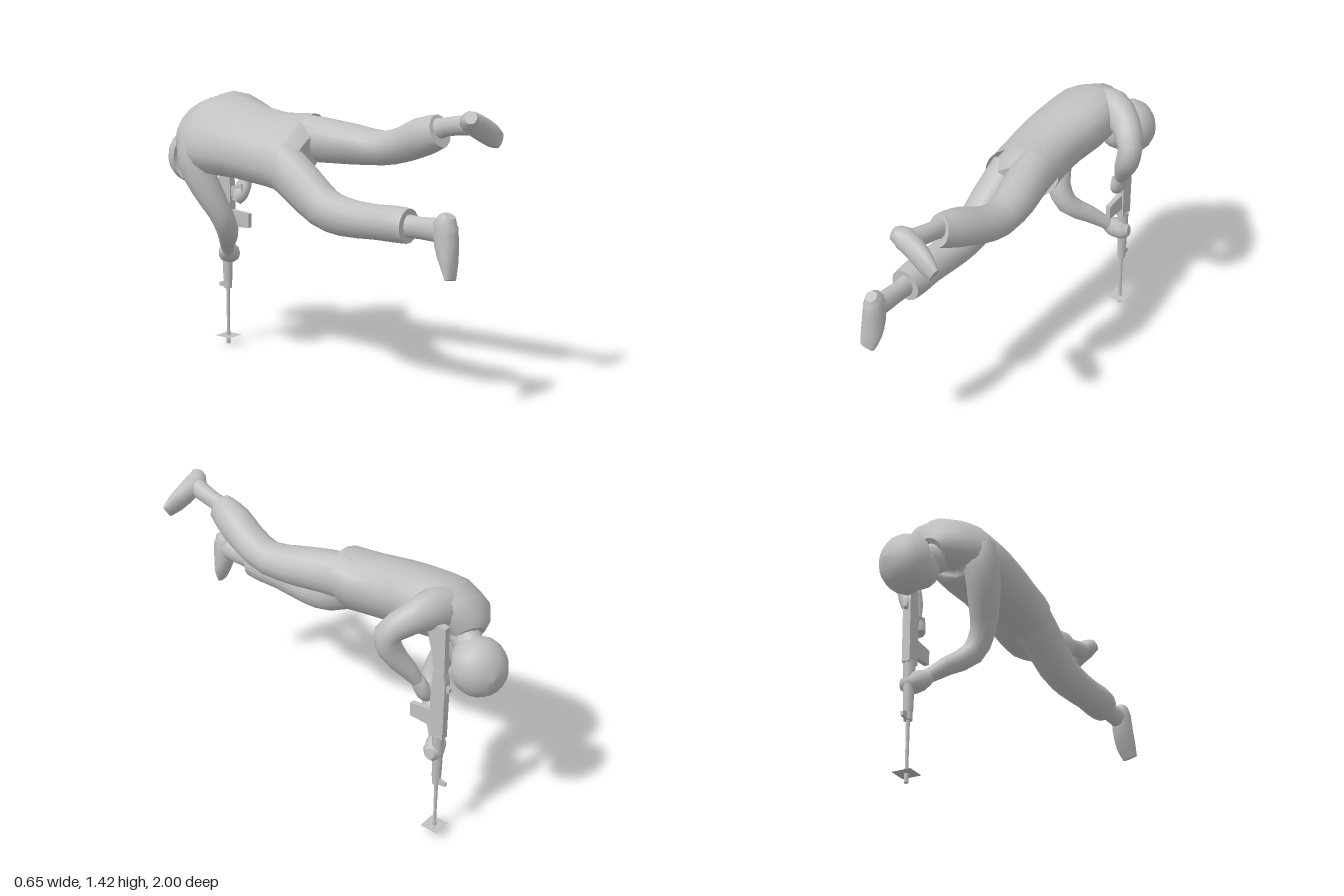
import * as THREE from 'three';

const V = (x, y, z) => new THREE.Vector3(x, y, z);
const grey = new THREE.MeshStandardMaterial({ color: 0xc0c0c0 });
grey.name = 'plain grey';
const greySheet = new THREE.MeshStandardMaterial({ color: 0xc0c0c0, side: THREE.DoubleSide });
greySheet.name = 'plain grey sheet';

// Skin over elliptical sections [x, y, z, a, b]; a lies along ref, b across it
function loft(sections, ref, { sides = 14, steps = 2, capStart = true, capEnd = true } = {}) {
  const path = new THREE.CatmullRomCurve3(sections.map(s => V(s[0], s[1], s[2])));
  const radii = new THREE.CatmullRomCurve3(sections.map(s => V(s[3], s[4], 0)));
  const n = (sections.length - 1) * steps;
  const pos = [], index = [], rings = [];
  for (let i = 0; i <= n; i++) {
    const c = path.getPoint(i / n), t = path.getTangent(i / n), r = radii.getPoint(i / n);
    const u = ref.clone().addScaledVector(t, -ref.dot(t)).normalize();
    const v = t.clone().cross(u);
    const ring = [];
    for (let j = 0; j < sides; j++) {
      const a = (j / sides) * Math.PI * 2;
      ring.push(c.clone().addScaledVector(u, Math.cos(a) * r.x).addScaledVector(v, Math.sin(a) * r.y));
    }
    rings.push(ring);
    ring.forEach(p => pos.push(p.x, p.y, p.z));
  }
  for (let i = 0; i < n; i++) for (let j = 0; j < sides; j++) {
    const k = (j + 1) % sides, a = i * sides + j, b = i * sides + k;
    index.push(a, b, b + sides, a, b + sides, a + sides);
  }
  const cap = (ring, c, flip) => {
    const base = pos.length / 3;
    pos.push(c.x, c.y, c.z);
    ring.forEach(p => pos.push(p.x, p.y, p.z));
    for (let j = 0; j < sides; j++) {
      const p = base + 1 + j, q = base + 1 + (j + 1) % sides;
      index.push(base, flip ? q : p, flip ? p : q);
    }
  };
  if (capStart) cap(rings[0], path.getPoint(0), true);
  if (capEnd) cap(rings[n], path.getPoint(1), false);
  const g = new THREE.BufferGeometry();
  g.setAttribute('position', new THREE.Float32BufferAttribute(pos, 3));
  g.setIndex(index);
  g.computeVertexNormals();
  return g;
}

// Side outline of [z, y] points, thickened along x
function slab(points, width) {
  const shape = new THREE.Shape(points.map(p => new THREE.Vector2(p[0], p[1])));
  return new THREE.ExtrudeGeometry(shape, { depth: width, bevelEnabled: false })
    .translate(0, 0, -width / 2).rotateY(-Math.PI / 2);
}

export function createModel() {
  const model = new THREE.Group();
  model.name = 'figure';
  const add = (name, geometry, parent = model, material = grey) => {
    const m = new THREE.Mesh(geometry, material);
    m.name = name;
    parent.add(m);
    return m;
  };
  const X = V(1, 0, 0), Z = V(0, 0, 1);
  const across = V(0.82, 0.57, 0); // rolled shoulder line

  // Jacket with an open, slanted hem
  const jacket = loft([
    [-0.095, 1.14, -0.055, 0.235, 0.155],
    [-0.11, 1.145, -0.2, 0.215, 0.155],
    [-0.11, 1.165, -0.36, 0.22, 0.16],
    [-0.095, 1.18, -0.5, 0.245, 0.165],
    [-0.085, 1.19, -0.62, 0.24, 0.16],
    [-0.075, 1.185, -0.7, 0.2, 0.13],
    [-0.035, 1.13, -0.765, 0.08, 0.075],
  ], across, { sides: 18, capStart: false });
  const p = jacket.attributes.position;
  for (let i = 0; i < p.count; i++) {
    const fade = Math.max(0, 1 + (p.getZ(i) + 0.05) / 0.3);
    p.setZ(i, p.getZ(i) + 0.2 * (p.getY(i) - 1.14) * Math.min(1, fade));
  }
  jacket.computeVertexNormals();
  add('jacket', jacket, model, greySheet);

  // Trousers
  add('pelvis', loft([
    [-0.1, 1.15, -0.25, 0.17, 0.12], [-0.1, 1.14, -0.08, 0.2, 0.135], [-0.1, 1.13, 0.02, 0.13, 0.08],
  ], across));
  add('lowerTrouserLeg', loft([
    [-0.185, 1.1, -0.1, 0.11, 0.12], [-0.205, 1.0, 0.06, 0.1, 0.115],
    [-0.215, 0.91, 0.2, 0.095, 0.105], [-0.225, 0.88, 0.33, 0.088, 0.095],
    [-0.235, 0.88, 0.52, 0.08, 0.084], [-0.238, 0.885, 0.64, 0.088, 0.086], [-0.24, 0.885, 0.72, 0.078, 0.083],
  ], X));
  add('upperTrouserLeg', loft([
    [-0.01, 1.2, -0.1, 0.1, 0.12], [0.005, 1.195, 0.04, 0.105, 0.112],
    [0.04, 1.185, 0.2, 0.1, 0.1], [0.06, 1.18, 0.36, 0.09, 0.085],
    [0.04, 1.215, 0.5, 0.092, 0.088], [0.01, 1.265, 0.62, 0.09, 0.095], [-0.015, 1.305, 0.735, 0.064, 0.08],
  ], X));

  // Shins and feet
  add('lowerAnkle', loft([
    [-0.24, 0.885, 0.68, 0.05, 0.06], [-0.24, 0.885, 0.78, 0.04, 0.052], [-0.25, 0.89, 0.93, 0.045, 0.06],
  ], X));
  add('lowerFoot', loft([
    [-0.255, 0.965, 0.955, 0.03, 0.03], [-0.255, 0.92, 0.935, 0.062, 0.05],
    [-0.257, 0.83, 0.942, 0.058, 0.055], [-0.265, 0.74, 0.962, 0.038, 0.055], [-0.28, 0.672, 0.98, 0.018, 0.04],
  ], Z, { sides: 12 }));
  add('upperAnkle', loft([
    [-0.012, 1.305, 0.69, 0.045, 0.055], [-0.015, 1.33, 0.78, 0.038, 0.045], [-0.04, 1.355, 0.93, 0.05, 0.05],
  ], X));
  add('upperFoot', loft([
    [-0.1, 1.395, 0.96, 0.028, 0.032], [-0.06, 1.37, 0.935, 0.056, 0.052],
    [0.01, 1.335, 0.94, 0.05, 0.058], [0.08, 1.295, 0.958, 0.034, 0.058], [0.132, 1.265, 0.972, 0.018, 0.04],
  ], Z, { sides: 12 }));

  // Arm that grips the trigger
  add('triggerArm', loft([
    [0.0, 1.26, -0.66, 0.08, 0.1], [0.09, 1.28, -0.625, 0.085, 0.105],
    [0.19, 1.25, -0.57, 0.072, 0.082], [0.26, 1.185, -0.5, 0.065, 0.062],
    [0.24, 1.08, -0.51, 0.062, 0.06], [0.19, 0.98, -0.565, 0.05, 0.046], [0.155, 0.905, -0.605, 0.035, 0.032],
  ], Z));
  add('triggerHand', loft([
    [0.155, 0.93, -0.6, 0.03, 0.028], [0.145, 0.88, -0.615, 0.045, 0.033],
    [0.125, 0.83, -0.625, 0.045, 0.038], [0.105, 0.79, -0.635, 0.025, 0.025],
  ], Z, { sides: 10 }));

  // Arm that supports the barrel
  add('supportArm', loft([
    [-0.2, 1.16, -0.65, 0.07, 0.1], [-0.225, 1.06, -0.63, 0.085, 0.09],
    [-0.205, 0.92, -0.57, 0.075, 0.078], [-0.165, 0.79, -0.51, 0.06, 0.062],
    [-0.11, 0.69, -0.51, 0.056, 0.058], [-0.02, 0.61, -0.59, 0.045, 0.046], [0.055, 0.54, -0.655, 0.032, 0.035],
  ], Z));
  add('supportHand', loft([
    [0.04, 0.55, -0.65, 0.028, 0.034], [0.075, 0.52, -0.675, 0.05, 0.055],
    [0.125, 0.505, -0.69, 0.052, 0.052], [0.163, 0.51, -0.695, 0.024, 0.03],
  ], Z, { sides: 10 }));

  // Head, leaning towards the sights
  add('neck', loft([
    [-0.05, 1.15, -0.7, 0.08, 0.08], [-0.02, 1.09, -0.77, 0.07, 0.075], [0.01, 1.05, -0.85, 0.07, 0.08],
  ], X));
  const head = new THREE.Group();
  head.name = 'head';
  head.position.set(0.035, 1.035, -0.852);
  head.quaternion.setFromUnitVectors(V(0, 1, 0), V(0.4, 0, -0.917).normalize());
  model.add(head);
  add('face', new THREE.SphereGeometry(1, 16, 12).scale(0.102, 0.125, 0.115).translate(0, -0.02, 0), head);
  const dome = [[0.143, -0.012], [0.147, 0.02], [0.138, 0.065], [0.11, 0.108], [0.062, 0.14], [0, 0.151]];
  add('helmet', new THREE.LatheGeometry(dome.map(d => new THREE.Vector2(d[0], d[1])), 18)
    .scale(0.96, 1, 1.06), head, greySheet);

  // Rifle pointing straight down
  const rifle = new THREE.Group();
  rifle.name = 'rifle';
  rifle.position.x = 0.115;
  model.add(rifle);
  const tube = (name, r0, r1, y0, y1, sides) => add(name,
    new THREE.CylinderGeometry(r1, r0, y1 - y0, sides).translate(0, (y0 + y1) / 2, -0.71), rifle);
  tube('muzzle', 0.011, 0.011, 0, 0.07, 8);
  tube('barrel', 0.008, 0.01, 0.07, 0.32, 8);
  tube('handguardTip', 0.022, 0.022, 0.31, 0.36, 8);
  tube('handguard', 0.024, 0.03, 0.355, 0.61, 8);
  add('frontSight', slab([[-0.72, 0.31], [-0.765, 0.315], [-0.765, 0.335], [-0.72, 0.35]], 0.014), rifle);
  add('receiver', slab([
    [-0.672, 0.6], [-0.745, 0.6], [-0.748, 0.93], [-0.735, 0.99], [-0.68, 0.99], [-0.668, 0.85],
  ], 0.042), rifle);
  add('rearSight', slab([[-0.74, 0.87], [-0.765, 0.88], [-0.765, 0.9], [-0.74, 0.92]], 0.02), rifle);
  add('magazine', slab([[-0.675, 0.65], [-0.55, 0.66], [-0.55, 0.735], [-0.675, 0.745]], 0.026), rifle);
  add('grip', slab([[-0.68, 0.81], [-0.59, 0.85], [-0.6, 0.89], [-0.68, 0.87]], 0.026), rifle);
  add('stock', slab([
    [-0.68, 0.98], [-0.74, 0.98], [-0.738, 1.06], [-0.735, 1.23], [-0.63, 1.25], [-0.645, 1.15], [-0.67, 1.06],
  ], 0.036), rifle);
  add('muzzlePlate', new THREE.PlaneGeometry(0.1, 0.1).rotateX(-Math.PI / 2)
    .translate(0, 0.045, -0.71), rifle, greySheet);

  return model;
}
